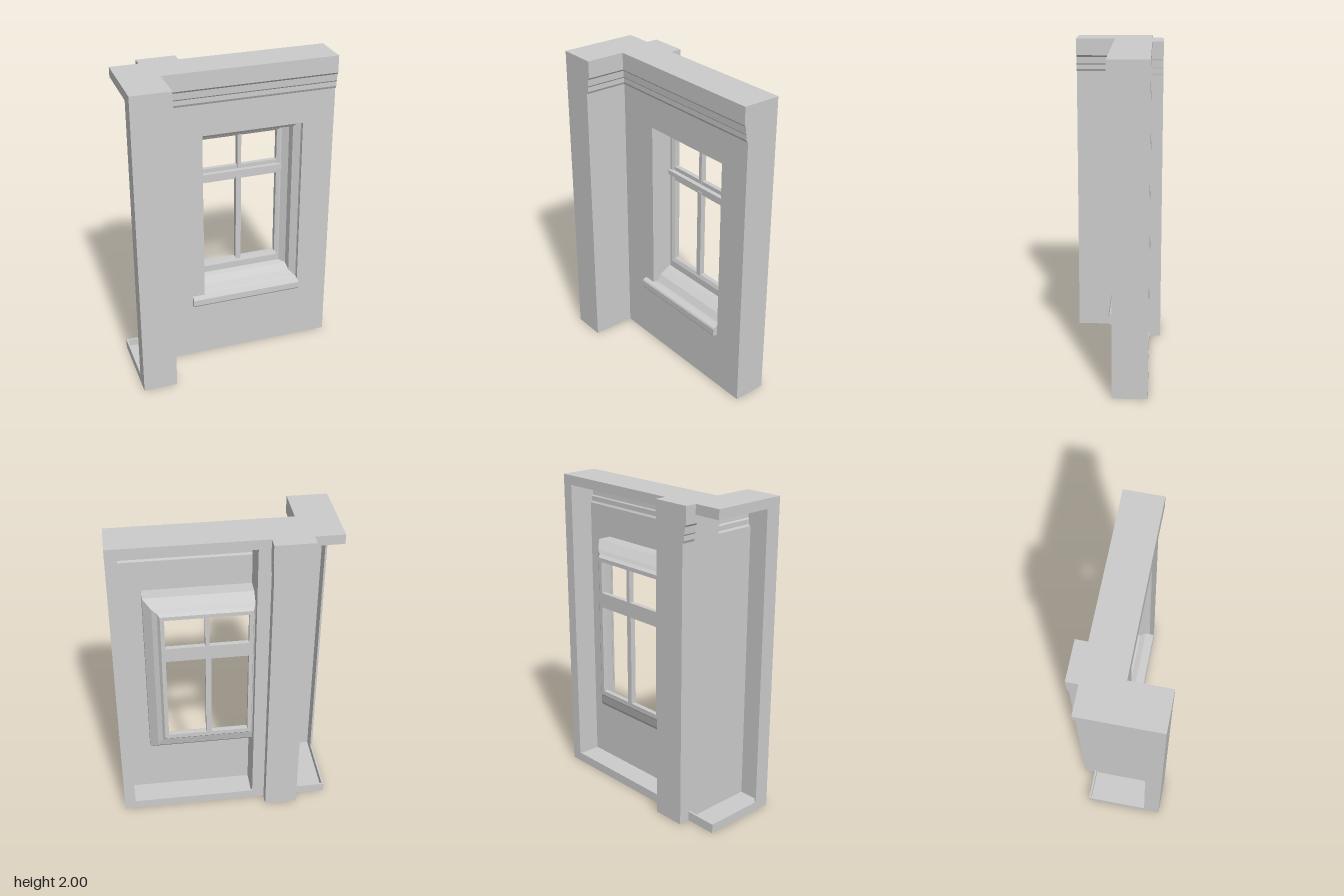
import * as THREE from 'three';

const mat = new THREE.MeshStandardMaterial({ color: 0xcccccc, flatShading: true, side: THREE.DoubleSide });
const T = 0.012; // shell thickness
const W = 0.676; // half width
const BACK = -0.213; // rear plane of the wall

export function createModel() {
  const model = new THREE.Group();

  const add = (name, geo, parent = model) => {
    const mesh = new THREE.Mesh(geo, mat);
    mesh.name = name;
    parent.add(mesh);
    return mesh;
  };
  // Box given by its extents
  const box = (name, x0, x1, y0, y1, z0, z1, parent) => {
    const m = add(name, new THREE.BoxGeometry(x1 - x0, y1 - y0, z1 - z0), parent);
    m.position.set((x0 + x1) / 2, (y0 + y1) / 2, (z0 + z1) / 2);
  };
  const shapeOf = pts => new THREE.Shape(pts.map(p => new THREE.Vector2(...p)));
  const extrude = (shape, depth) => new THREE.ExtrudeGeometry(shape, { depth, bevelEnabled: false });

  // Thin wall sheet with the window hole, up to the cornice
  const sheet = shapeOf([[-0.47, 0], [W, 0], [W, 1.79], [-0.47, 1.79]]);
  sheet.holes.push(new THREE.Path([[-0.18, 0.43], [-0.18, 1.58], [0.47, 1.58], [0.47, 0.43]]
    .map(p => new THREE.Vector2(...p))));
  add('wallSheet', extrude(sheet, T)).position.z = -T;

  // Thin floor and top plates following the corner plan (shape y becomes -z)
  const plate = (name, legX, front, y) => {
    const s = shapeOf([[-W, -0.283], [legX, -0.283], [legX, -front], [W, -front], [W, -BACK], [-W, -BACK]]);
    const g = extrude(s, T);
    g.rotateX(-Math.PI / 2);
    add(name, g).position.y = y;
  };
  plate('bottomPlate', -0.46, 0, 0);
  plate('topPlate', -0.43, 0.03, 2 - T);

  // Flanges along the open back and the open outer side
  for (const [label, y] of [['bottom', 0], ['top', 1.94]]) {
    box(label + 'BackFlange', -W, W, y, y + 0.06, BACK, BACK + T);
    box(label + 'SideFlange', -W, -W + T, y, y + 0.06, BACK, 0.283);
  }
  box('sideBackFlange', 0.605, W, 0, 2, BACK, BACK + T);
  box('sideWall', W - T, W, 0, 2, BACK, 0);
  box('innerJamb', -0.46, -0.183, 0, 2, BACK, -0.005);

  // Pilaster: front board, its return flange and the thin cross wall
  box('pilasterFront', -W, -0.46, 0, 2, 0.283 - T, 0.283);
  box('pilasterFlange', -W, -W + T, 0, 2, 0.18, 0.283);
  box('crossWall', -0.46 - T, -0.46, 0, 1.79, -0.283, 0.283);
  box('upperCrossWall', -0.46 - T, -0.46, 1.79, 2, -0.283, 0);

  // Rear post
  box('rearPost', -0.472, -0.262, 0, 2, -0.286, -0.2);

  // Cornice moulding: profile of projection against height, hollow or solid behind
  const profile = [[0, 1.785], [0.004, 1.785], [0.012, 1.8], [0.012, 1.83], [0.018, 1.838],
    [0.02, 1.88], [0.03, 1.892], [0.03, 2]];
  const cornice = (name, length, scale, turn, x, z, hollow) => {
    const outer = profile.map(([u, y]) => [u * scale, y]);
    const inner = hollow ? outer.map(([u, y]) => [u - T, y]).reverse() : [[-T, 2], [-T, 1.785]];
    const m = add(name, extrude(shapeOf([...outer, ...inner]), length));
    m.rotation.y = turn;
    m.position.set(x, 0, z);
  };
  cornice('wallCornice', W + 0.46, 1, -Math.PI / 2, W, 0, true);
  cornice('wallCorniceEnd', T, 1, -Math.PI / 2, W, 0, false);
  cornice('pilasterCornice', 0.283, 1, 0, -0.46, 0, true);
  cornice('pilasterCorniceEnd', T, 1, 0, -0.46, 0.283 - T, false);
  cornice('postOuterCornice', 0.086, 0.9, Math.PI, -0.472, -0.2, false);
  cornice('postInnerCornice', 0.086, 0.2, 0, -0.262, -0.286, false);

  // Window: closed ring lofted through rectangles [x0, x1, y0, y1, z]
  const win = new THREE.Group();
  win.name = 'window';
  model.add(win);
  const rings = [
    [-0.18, 0.475, 0.43, 1.585, 0], [-0.18, 0.47, 0.45, 1.58, -0.03],
    [-0.18, 0.43, 0.49, 1.54, -0.06], [-0.18, 0.425, 0.52, 1.53, -0.11],
    [-0.18, 0.39, 0.53, 1.515, -0.145], [-0.165, 0.38, 0.575, 1.5, -0.145],
    [-0.145, 0.36, 0.6, 1.485, -0.155], [-0.145, 0.36, 0.6, 1.485, -0.185],
    [-0.17, 0.385, 0.57, 1.51, -0.185], [-0.175, 0.4, 0.55, 1.525, -0.165],
    [-0.19, 0.43, 0.49, 1.545, -0.15], [-0.19, 0.48, 0.44, 1.595, -0.1],
    [-0.19, 0.48, 0.4, 1.595, -0.01],
  ];
  const pos = [];
  const idx = [];
  rings.forEach(([x0, x1, y0, y1, z], r) => {
    pos.push(x0, y0, z, x1, y0, z, x1, y1, z, x0, y1, z);
    if (r === rings.length - 1) return;
    for (let i = 0; i < 4; i++) {
      const a = r * 4 + i, b = r * 4 + (i + 1) % 4;
      idx.push(a, b, b + 4, a, b + 4, a + 4);
    }
  });
  const loft = new THREE.BufferGeometry();
  loft.setAttribute('position', new THREE.Float32BufferAttribute(pos, 3));
  loft.setIndex(idx);
  const flat = loft.toNonIndexed();
  flat.computeVertexNormals();
  add('windowSurround', flat, win);

  // Glazing bars
  box('lowerMullion', 0.085, 0.12, 0.59, 1.2, -0.185, -0.15, win);
  box('upperMullion', 0.095, 0.12, 1.26, 1.49, -0.185, -0.15, win);
  box('transom', -0.15, 0.365, 1.185, 1.28, -0.185, -0.155, win);
  box('transomMoulding', -0.175, 0.385, 1.225, 1.255, -0.16, -0.125, win);

  // Projecting sill with a sloping top, extruded along x
  const sill = extrude(shapeOf([[-T, 0.385], [0.024, 0.385], [0.03, 0.395], [0.03, 0.435],
    [0.024, 0.445], [-T, 0.455]]), 0.73);
  sill.rotateY(-Math.PI / 2);
  add('sill', sill, win).position.x = 0.468;

  return model;
}
